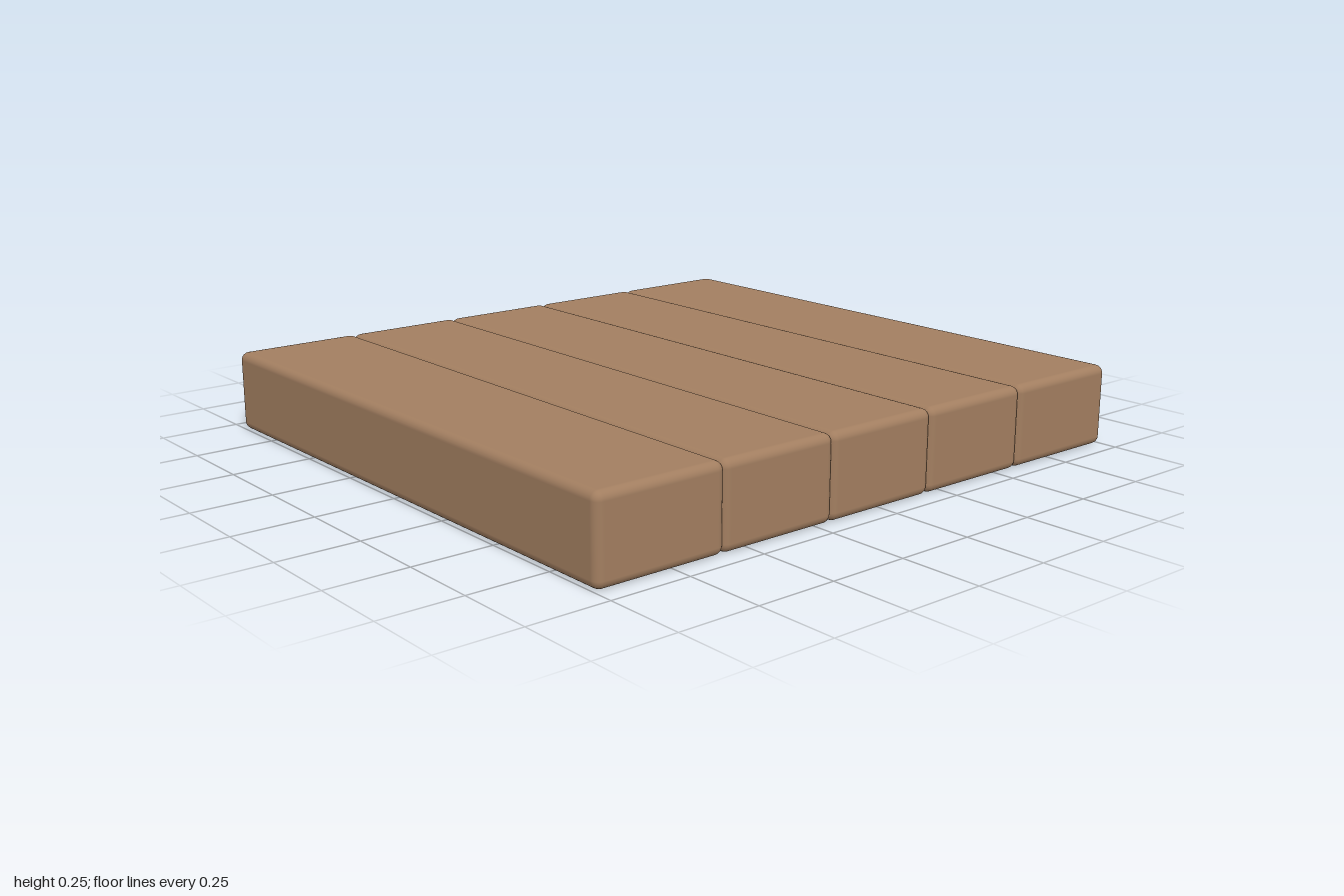
import * as THREE from 'three';
import { RoundedBoxGeometry } from 'three/addons/geometries/RoundedBoxGeometry.js';

export function createModel() {
  const group = new THREE.Group();
  group.name = 'plankFloor';
  const wood = new THREE.MeshStandardMaterial({ color: 0xa27e60 });
  wood.name = 'wood';

  const height = 0.255, depth = 1.89, radius = 0.026, overlap = 0.004;
  // seams between neighbouring planks, with the outer edges at both ends
  const seams = [-1, -0.587, -0.198, 0.19, 0.583, 1];

  // five rounded planks side by side, each reaching slightly into the next
  for (let i = 0; i < 5; i++) {
    const left = seams[i] - (i > 0 ? overlap : 0);
    const right = seams[i + 1] + (i < 4 ? overlap : 0);
    const plank = new THREE.Mesh(new RoundedBoxGeometry(right - left, height, depth, 3, radius), wood);
    plank.name = `plank${i + 1}`;
    plank.position.set((left + right) / 2, height / 2, 0);
    group.add(plank);
  }
  return group;
}
